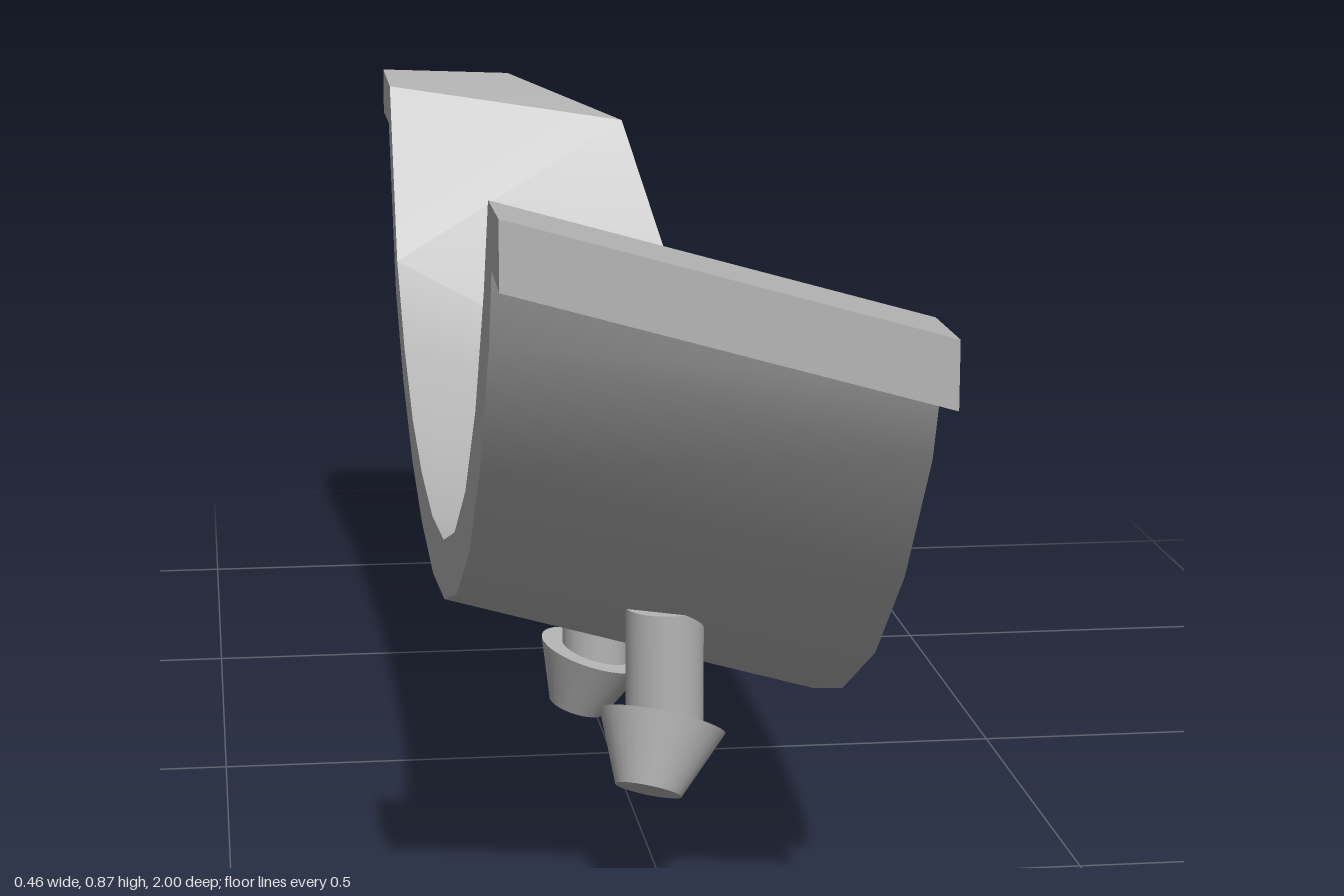
import * as THREE from 'three';
import { toCreasedNormals } from 'three/addons/utils/BufferGeometryUtils.js';

// The band drops across its width: right edge = left edge - DROP
const HALF = 0.23, DROP = 0.13;

// Band edge profile at x = +HALF, front to middle: [top z, top y, bottom z, bottom y]
const ARC = [
  [1, 0.74, 1, 0.667], [0.88, 0.74, 0.915, 0.675], [0.82, 0.635, 0.88, 0.59],
  [0.7, 0.485, 0.75, 0.43], [0.55, 0.36, 0.595, 0.3], [0.38, 0.27, 0.4, 0.2],
  [0.2, 0.215, 0.2, 0.14], [0, 0.195, 0, 0.12], [-0.2, 0.205, -0.21, 0.135],
  [-0.38, 0.237, -0.4, 0.175], [-0.55, 0.305, -0.59, 0.25],
];

// Each section is four corners: top left, top right, bottom right, bottom left
function bandSections() {
  const sections = ARC.map(([tz, ty, bz, by]) => [
    [-HALF, ty + DROP, tz], [HALF, ty, tz], [HALF, by, bz], [-HALF, by + DROP, bz],
  ]);
  const [, topR, botR] = sections[sections.length - 1];
  // Trimmed back end: wedge, slope top, then flange tip
  sections.push([[-HALF, 0.535, -0.7], topR, botR, [-HALF, 0.485, -0.745]]);
  sections.push([[-HALF, 0.775, -0.83], [0.115, 0.72, -0.825], [0.115, 0.67, -0.87], [-HALF, 0.715, -0.87]]);
  sections.push([[-HALF, 0.78, -1], [-0.04, 0.772, -1], [-0.04, 0.71, -1], [-HALF, 0.715, -1]]);
  return sections;
}

function loft(sections) {
  const pos = [];
  const tri = (a, b, c) => {
    if (a !== b && b !== c && c !== a) pos.push(...a, ...b, ...c);
  };
  const quad = (a, b, c, d) => { tri(a, b, c); tri(a, c, d); };
  for (let i = 0; i < sections.length - 1; i++) {
    const s = sections[i], n = sections[i + 1];
    for (let k = 0; k < 4; k++) {
      const j = (k + 1) % 4;
      quad(s[k], s[j], n[j], n[k]);
    }
  }
  const first = sections[0], last = sections[sections.length - 1];
  quad(first[0], first[3], first[2], first[1]);
  quad(last[0], last[1], last[2], last[3]);
  const geo = new THREE.BufferGeometry();
  geo.setAttribute('position', new THREE.Float32BufferAttribute(pos, 3));
  return toCreasedNormals(geo, 0.5);
}

export function createModel() {
  const model = new THREE.Group();
  model.name = 'curvedClip';
  const grey = new THREE.MeshStandardMaterial({ color: 0xb4b4b4 });
  grey.name = 'plain grey';

  const band = new THREE.Mesh(loft(bandSections()), grey);
  band.name = 'curvedBand';
  model.add(band);

  // Snap pegs: vertical shank with a tapered head square to the band
  const addPeg = (name, z, rimY, shankTop, up) => {
    const peg = new THREE.Group();
    peg.name = name;
    const bottom = rimY - 0.03;
    const shank = new THREE.Mesh(new THREE.CylinderGeometry(0.045, 0.045, shankTop - bottom, 32), grey);
    shank.name = 'shank';
    shank.position.set(0, (shankTop + bottom) / 2, z);
    const height = 0.082;
    const head = new THREE.Mesh(new THREE.CylinderGeometry(0.074, 0.039, height, 32), grey);
    head.name = 'taperedHead';
    const axis = new THREE.Vector3(...up).normalize();
    head.quaternion.setFromUnitVectors(new THREE.Vector3(0, 1, 0), axis);
    head.position.set(-0.002, rimY, z).addScaledVector(axis, -height / 2);
    peg.add(shank, head);
    model.add(peg);
  };
  addPeg('middlePeg', -0.173, 0.09, 0.23, [0.275, 0.96, 0.09]);
  addPeg('frontPeg', 0.515, 0.203, 0.34, [0.275, 0.96, -0.45]);
  return model;
}
